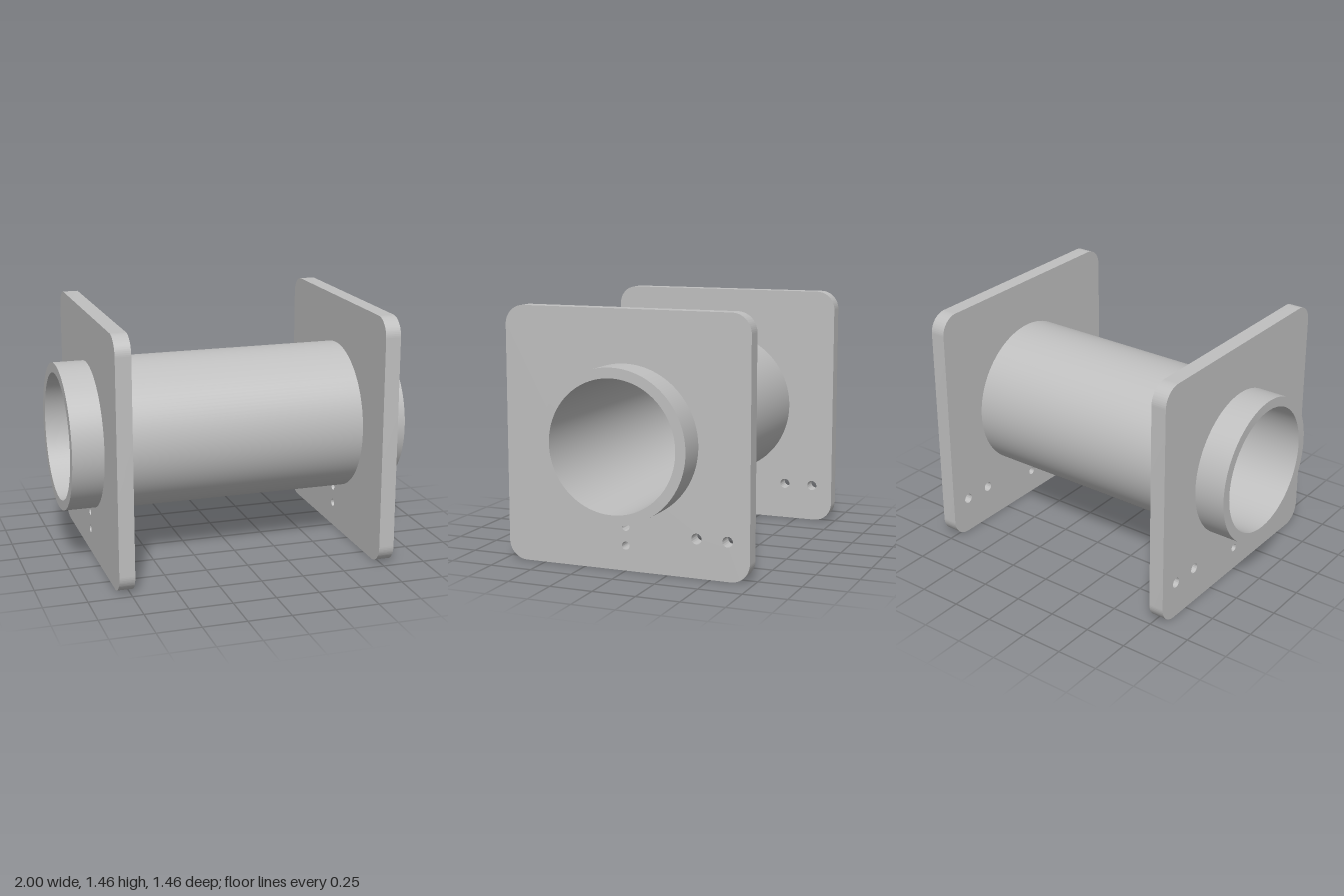
import * as THREE from 'three';
import { toCreasedNormals } from 'three/addons/utils/BufferGeometryUtils.js';

const SIZE = 1.455, HALF = SIZE / 2, CORNER = 0.11;
const BORE = 0.372, END_RADIUS = 0.43, BODY_RADIUS = 0.443;
const PLATE_INNER = 0.727, PLATE_THICK = 0.09;

// Rounded square flange with the tube opening and four drilled holes
function flangeGeometry() {
  const a = HALF - CORNER;
  const shape = new THREE.Shape();
  shape.absarc(a, a, CORNER, 0, Math.PI / 2);
  shape.absarc(-a, a, CORNER, Math.PI / 2, Math.PI);
  shape.absarc(-a, -a, CORNER, Math.PI, Math.PI * 1.5);
  shape.absarc(a, -a, CORNER, Math.PI * 1.5, Math.PI * 2);
  shape.closePath();

  // [position, height, radius]; shape x becomes -z
  const holes = [
    [0, HALF, END_RADIUS],
    [0, 0.25, 0.023], [0, 0.143, 0.023],
    [0.42, 0.221, 0.03], [0.6, 0.221, 0.03],
  ];
  for (const [x, y, r] of holes) {
    shape.holes.push(new THREE.Path().absarc(x, y - HALF, r, 0, Math.PI * 2, true));
  }
  const geometry = new THREE.ExtrudeGeometry(shape, {
    depth: PLATE_THICK, bevelEnabled: false, curveSegments: 48,
  });
  geometry.translate(0, 0, -PLATE_THICK / 2).rotateY(Math.PI / 2);
  return toCreasedNormals(geometry, 0.6);
}

// Hollow tube with a slightly thicker middle between the flanges
function tubeGeometry() {
  const profile = [
    [BORE, -1], [END_RADIUS, -1], [END_RADIUS, -PLATE_INNER],
    [BODY_RADIUS, -PLATE_INNER], [BODY_RADIUS, PLATE_INNER],
    [END_RADIUS, PLATE_INNER], [END_RADIUS, 1], [BORE, 1], [BORE, -1],
  ].map(([r, y]) => new THREE.Vector2(r, y));
  const geometry = new THREE.LatheGeometry(profile, 128).rotateZ(-Math.PI / 2);
  return toCreasedNormals(geometry, 0.6);
}

export function createModel() {
  const model = new THREE.Group();
  model.name = 'flangedSpool';
  const metal = new THREE.MeshStandardMaterial({ color: 0xbfbfbf });
  metal.name = 'light grey metal';

  const tube = new THREE.Mesh(tubeGeometry(), metal);
  tube.name = 'tube';
  tube.position.y = HALF;
  model.add(tube);

  // Both flanges share the same hole pattern
  const plate = flangeGeometry();
  for (const [name, side] of [['leftFlange', 1], ['rightFlange', -1]]) {
    const flange = new THREE.Mesh(plate, metal);
    flange.name = name;
    flange.position.set(side * (PLATE_INNER + PLATE_THICK / 2), HALF, 0);
    model.add(flange);
  }
  return model;
}
